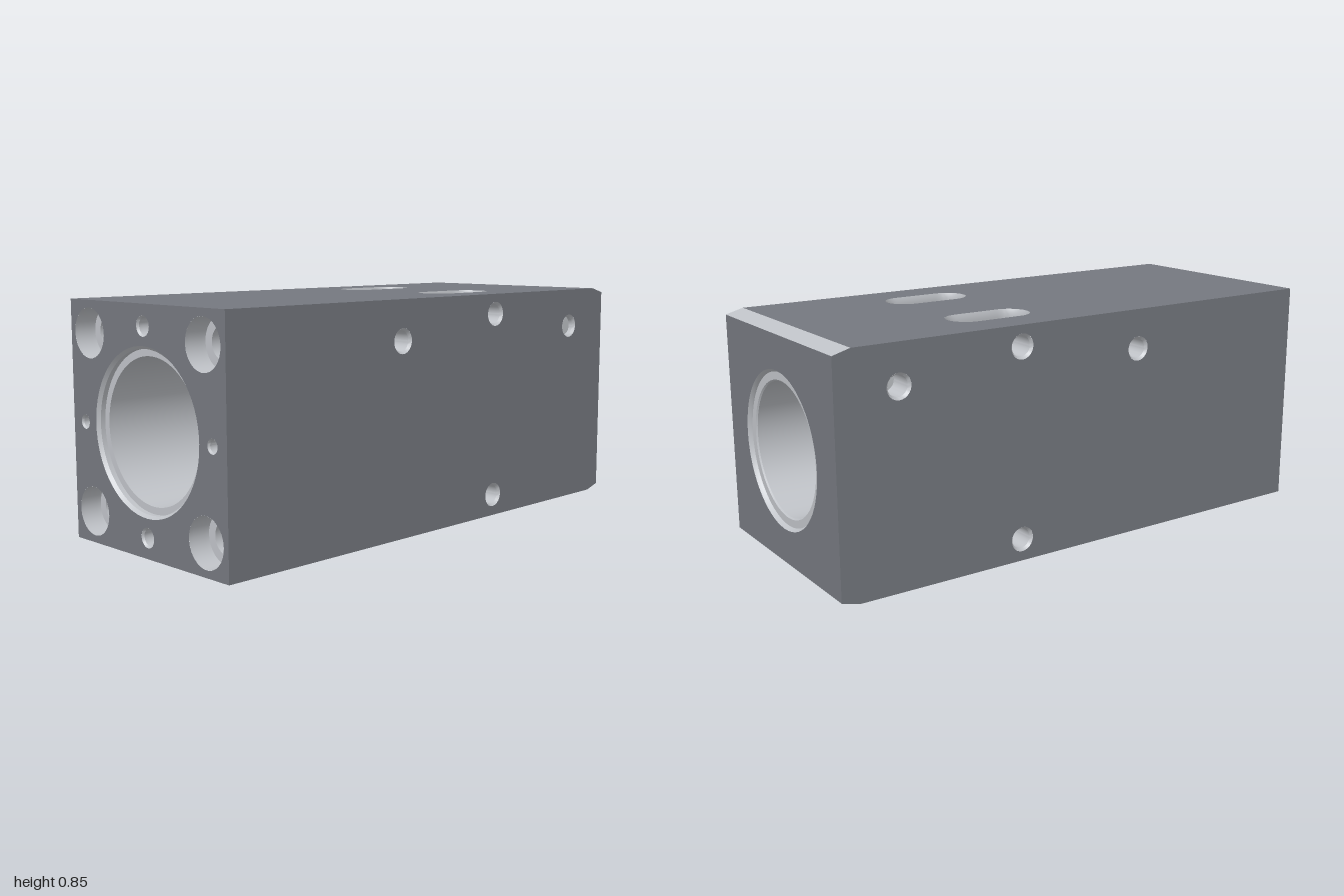
import * as THREE from 'three';
import { toCreasedNormals } from 'three/addons/utils/BufferGeometryUtils.js';

const H = 0.845, D = 0.42, C = H / 2;      // block height, half depth, bore centre height
const STEP = 0.016;                        // mesh step along cavity walls
const X = new THREE.Vector3(1, 0, 0), Y = new THREE.Vector3(0, 1, 0), Z = new THREE.Vector3(0, 0, 1);
const neg = (v) => v.clone().negate();

// Round cavity: profile of [depth, radius] along an axis from its mouth
function roundCavity(name, origin, axis, profile, segments = 28) {
  const o = new THREE.Vector3(...origin);
  const u = Y.clone(), v = axis.clone().cross(u);
  const rings = [profile[0]];
  for (let i = 1; i < profile.length; i++) {
    const [a, b] = [profile[i - 1], profile[i]];
    const n = Math.ceil(Math.abs(b[0] - a[0]) / STEP) || 1;
    for (let k = 1; k <= n; k++) rings.push([0, 1].map((j) => a[j] + (b[j] - a[j]) * k / n));
  }
  const point = (i, j) => {
    const t = 2 * Math.PI * j / segments, [d, r] = rings[i];
    return o.clone().addScaledVector(axis, d)
      .addScaledVector(u, r * Math.cos(t)).addScaledVector(v, r * Math.sin(t));
  };
  const contains = (p) => {
    const q = p.clone().sub(o), d = q.dot(axis);
    const r = q.addScaledVector(axis, -d).length();
    for (let i = 1; i < profile.length; i++) {
      const [a, b] = [profile[i - 1], profile[i]];
      if (d >= a[0] && d < b[0]) return r < a[1] + (b[1] - a[1]) * (d - a[0]) / (b[0] - a[0]);
    }
    return false;
  };
  return { name, point, contains, rows: rings.length - 1, columns: segments };
}

// Long slot running straight down through the block
const SLOT = { x: 0.294, half: 0.088, r: 0.075, bevel: 0.005 };
function slotCavity(name, z) {
  const rows = 60, columns = 80, outline = slotPath(SLOT.x, z).getSpacedPoints(columns);
  return {
    name, rows, columns,
    point: (i, j) => {
      const p = outline[j], cx = THREE.MathUtils.clamp(p.x, SLOT.x - SLOT.half, SLOT.x + SLOT.half);
      const k = i === 0 || i === rows ? 1 : 1 - SLOT.bevel / SLOT.r;
      return new THREE.Vector3(cx + (p.x - cx) * k, H * (1 - i / rows), z + (p.y - z) * k);
    },
    contains: (p) => Math.hypot(Math.max(Math.abs(p.x - SLOT.x) - SLOT.half, 0), p.z - z)
      < SLOT.r - SLOT.bevel,
  };
}

function slotPath(x, y) {
  const { half, r } = SLOT, path = new THREE.Path();
  path.moveTo(x - half, y - r).lineTo(x + half, y - r);
  path.absarc(x + half, y, r, -Math.PI / 2, Math.PI / 2, false);
  path.lineTo(x - half, y + r);
  path.absarc(x - half, y, r, Math.PI / 2, Math.PI * 1.5, false);
  return path;
}

const circle = (x, y, r) => new THREE.Path().absarc(x, y, r, 0, Math.PI * 2, true);

export function createModel() {
  const model = new THREE.Group();
  const skin = new THREE.MeshStandardMaterial({ color: 0x75787f });
  const machined = new THREE.MeshStandardMaterial({ color: 0xbfc2c7, side: THREE.DoubleSide });

  // Flat outer face, drawn in its own u, v axes
  const face = (name, outline, holes, u, v, offset, material = skin) => {
    const shape = new THREE.Shape(outline.map(([a, b]) => new THREE.Vector2(a, b)));
    shape.holes.push(...holes);
    const n = u.clone().cross(v);
    const geometry = new THREE.ShapeGeometry(shape, 32);
    geometry.applyMatrix4(new THREE.Matrix4().makeBasis(u, v, n).setPosition(n.multiplyScalar(offset)));
    const mesh = new THREE.Mesh(geometry, material);
    mesh.name = name;
    model.add(mesh);
  };
  const rect = (a0, b0, a1, b1) => [[a0, b0], [a1, b0], [a1, b1], [a0, b1]];

  // Positions of holes on the sides and the rear end
  const RIM = 0.045, R = 0.037;
  const crossHoles = [[-0.217, 0.70], [0.294, 0.77], [0.294, 0.08]];
  const blind = [0.77, 0.70];
  const corners = [[-1, -1], [1, -1], [1, 1], [-1, 1]].map(([a, b]) => [a * 0.31, C + b * 0.31]);
  const pinHoles = [[0, C + 0.35, 0.035], [0, C - 0.35, 0.035], [0.35, C, 0.025], [-0.35, C, 0.025]];
  const sideHoles = [...crossHoles, blind];

  // Outer skin
  const side = [[-1, 0], [0.935, 0], [1, 0.018], [1, H - 0.018], [0.935, H], [-1, H]];
  face('frontFace', side, sideHoles.map(([x, y]) => circle(x, y, RIM)), X, Y, D);
  face('backFace', side.map(([x, y]) => [-x, y]).reverse(),
    sideHoles.map(([x, y]) => circle(-x, y, RIM)), neg(X), Y, D);
  const slots = [slotPath(SLOT.x, 0.21), slotPath(SLOT.x, -0.21)];
  face('topFace', rect(-1, -D, 0.935, D), slots, X, neg(Z), H);
  face('bottomFace', rect(-1, -D, 0.935, D), slots, X, Z, 0);
  face('noseFace', rect(-D, 0.018, D, H - 0.018), [circle(0, C, 0.28)], neg(Z), Y, 1);
  face('rearFace', rect(-D, 0, D, H), [circle(0, C, 0.285),
    ...corners.map(([z, y]) => circle(z, y, 0.087)),
    ...pinHoles.map(([z, y, r]) => circle(z, y, r))], Z, Y, 1);

  // Bright shallow bevels on the +x end
  const slope = new THREE.Vector3(0.065, -0.018, 0), length = slope.length();
  slope.normalize();
  for (const top of [true, false]) {
    const dir = top ? slope : new THREE.Vector3(slope.x, -slope.y, 0);
    const edge = new THREE.Vector3(0.935, top ? H : 0, 0);
    const across = top ? neg(Z) : Z, a = edge.dot(dir);
    face(top ? 'topBevel' : 'bottomBevel', rect(a, -D, a + length, D), [], dir, across,
      edge.dot(dir.clone().cross(across)), machined);
  }

  // Cavities
  const cavities = [
    roundCavity('mainBore', [-1, C, 0], X, [[0, 0.285], [0.012, 0.275], [0.03, 0.275], [0.03, 0.25],
      [0.9, 0.25], [0.9, 0.167], [0.98, 0.167], [1.1, 0.21], [1.1, 0.237], [1.98, 0.237],
      [1.985, 0.242], [1.985, 0.27], [1.99, 0.272], [2, 0.28]], 96),
    slotCavity('frontSlot', 0.21),
    slotCavity('backSlot', -0.21),
    ...crossHoles.map(([x, y]) => roundCavity('crossHole', [x, y, D], neg(Z),
      [[0, RIM], [0.01, R], [2 * D - 0.01, R], [2 * D, RIM]])),
    roundCavity('frontBlindHole', [...blind, D], neg(Z), [[0, RIM], [0.01, R], [0.025, R], [0.025, 0]]),
    roundCavity('backBlindHole', [...blind, -D], Z, [[0, RIM], [0.01, R], [0.1, R], [0.1, 0]]),
    ...corners.map(([z, y]) => roundCavity('counterboredHole', [-1, y, z], X,
      [[0, 0.087], [0.08, 0.087], [0.08, 0.055], [0.4, 0.055], [0.43, 0]], 32)),
    ...pinHoles.map(([z, y, r]) => roundCavity('pinHole', [-1, y, z], X,
      [[0, r], [0.008, r * 0.85], [0.15, r * 0.85], [0.17, 0]], 20)),
  ];

  // Line each cavity, leaving openings where cavities run into each other
  for (const cavity of cavities) {
    const others = cavities.filter((c) => c !== cavity);
    const open = (p) => others.some((o) => o.contains(p));
    const middle = (a, b) => a.clone().lerp(b, 0.5);
    const positions = [];
    // Triangles on the rim of an opening are split for a clean edge
    const triangle = (a, b, c, splits) => {
      const count = [a, b, c].filter(open).length;
      if (count === 3) return;
      if (count > 0 && splits > 0) {
        const ab = middle(a, b), bc = middle(b, c), ca = middle(c, a);
        triangle(a, ab, ca, splits - 1);
        triangle(ab, b, bc, splits - 1);
        triangle(ca, bc, c, splits - 1);
        triangle(ab, bc, ca, splits - 1);
      } else if (count < 2) {
        for (const p of [a, b, c]) positions.push(p.x, p.y, p.z);
      }
    };
    for (let i = 0; i < cavity.rows; i++) {
      for (let j = 0; j < cavity.columns; j++) {
        const a = cavity.point(i, j), b = cavity.point(i + 1, j);
        const c = cavity.point(i + 1, j + 1), d = cavity.point(i, j + 1);
        triangle(a, b, c, 3);
        triangle(a, c, d, 3);
      }
    }
    const geometry = new THREE.BufferGeometry();
    geometry.setAttribute('position', new THREE.Float32BufferAttribute(positions, 3));
    const mesh = new THREE.Mesh(toCreasedNormals(geometry, 0.4), machined);
    mesh.name = cavity.name;
    model.add(mesh);
  }
  return model;
}
